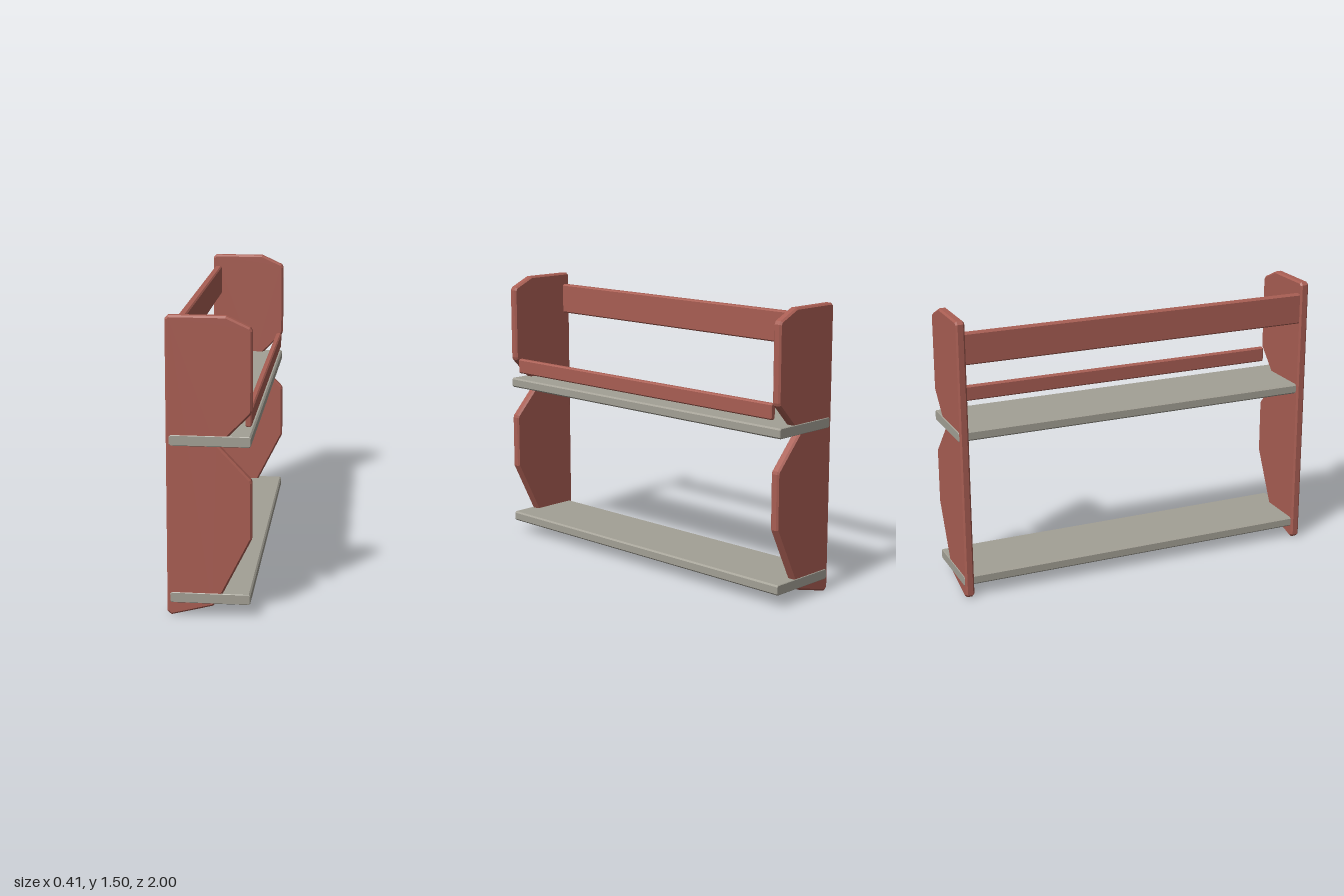
import * as THREE from 'three';

const red = new THREE.MeshStandardMaterial({ color: 0xa95e53 });
red.name = 'red paint';
const grey = new THREE.MeshStandardMaterial({ color: 0xa3a095 });
grey.name = 'warm grey board';

// Outline pushed along z between z0 and z1, with a one-step chamfer at both ends
function board(name, points, z0, z1, bevel, material) {
  const shape = new THREE.Shape(points.map(([x, y]) => new THREE.Vector2(x, y)));
  const geometry = new THREE.ExtrudeGeometry(shape, {
    depth: z1 - z0 - 2 * bevel,
    bevelEnabled: true,
    bevelThickness: bevel,
    bevelSize: bevel,
    bevelOffset: -bevel,
    bevelSegments: 1,
  });
  geometry.translate(0, 0, z0 + bevel);
  const mesh = new THREE.Mesh(geometry, material);
  mesh.name = name;
  return mesh;
}

// Rectangle with its four corners cut by c
function cutRect(x0, x1, y0, y1, c) {
  return [
    [x0 + c, y0], [x1 - c, y0], [x1, y0 + c], [x1, y1 - c],
    [x1 - c, y1], [x0 + c, y1], [x0, y1 - c], [x0, y0 + c],
  ];
}

export function createModel() {
  const group = new THREE.Group();
  group.name = 'wallShelf';

  // Side panels: notched in front at each shelf
  const outline = [
    [-0.21, 0.02], [-0.19, 0.003], [0.015, 0.056], [0.045, 0.085],
    [0.205, 0.405], [0.205, 0.69], [0.2, 0.705], [0.045, 0.87],
    [0.2, 1.03], [0.205, 1.045], [0.205, 1.43], [0.195, 1.447],
    [0.08, 1.5], [-0.195, 1.5], [-0.21, 1.485],
  ];
  group.add(board('leftEndPanel', outline, 0.95, 0.997, 0.009, red));
  group.add(board('rightEndPanel', outline, -0.997, -0.95, 0.009, red));

  // Shelves: run through the panels and show at the outer faces
  [['lowerShelf', 0.07], ['upperShelf', 0.868]].forEach(([name, y]) => {
    group.add(board(name, cutRect(-0.195, 0.2, y, y + 0.053, 0.008), -1, 1, 0.003, grey));
  });

  // Back rail between the panels, and the lip above the upper shelf
  group.add(board('backRail', cutRect(-0.2, -0.16, 1.27, 1.435, 0.007), -0.955, 0.955, 0.003, red));
  group.add(board('frontLip', cutRect(0.167, 0.198, 0.955, 1.037, 0.007), -0.942, 0.942, 0.005, red));

  return group;
}
